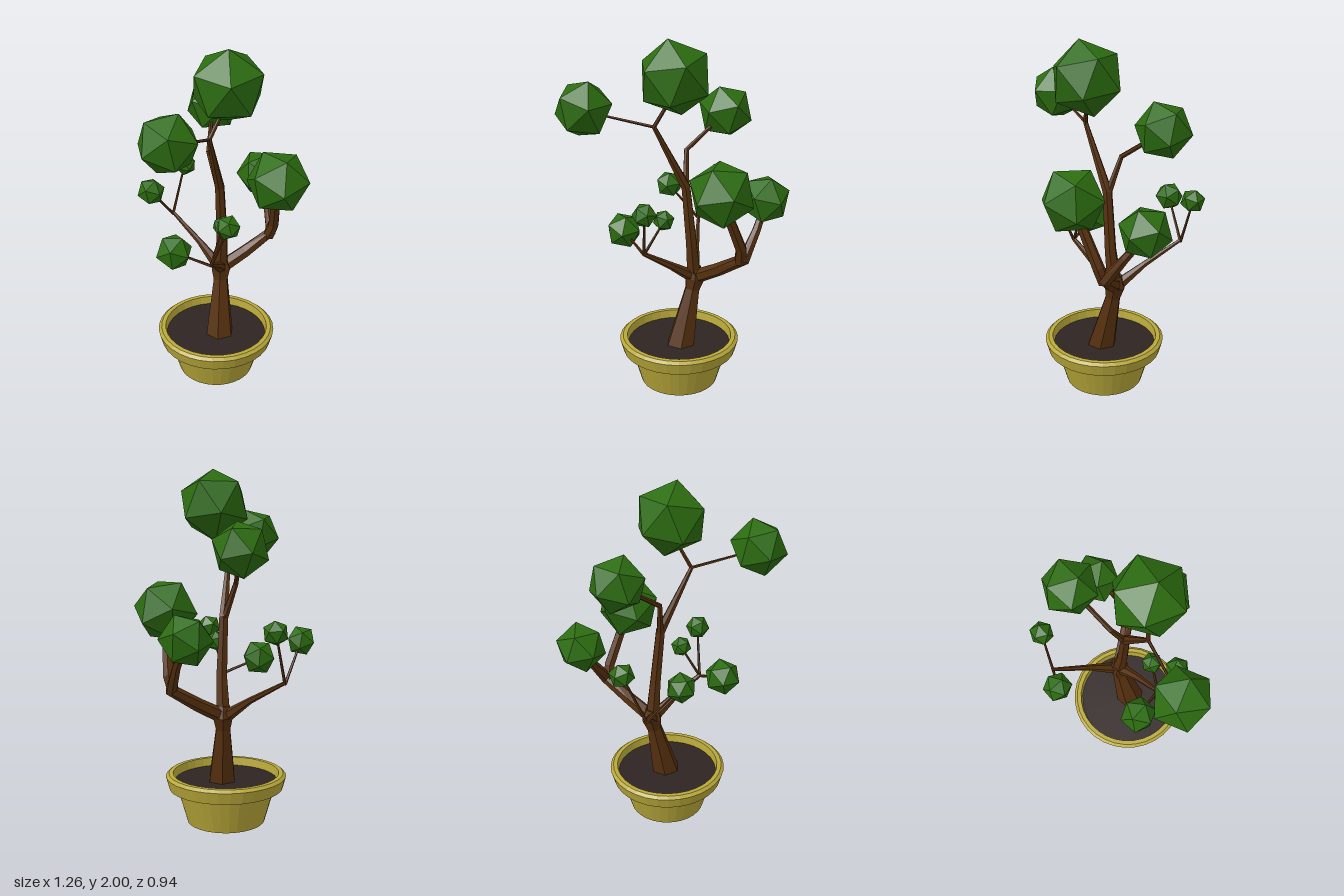
import * as THREE from 'three';

const mat = (color) => new THREE.MeshStandardMaterial({ color, flatShading: true });
const bark = mat(0x56300f);
const leaf = mat(0x2c6c10);
const clay = mat(0xb8a83a);
const earth = mat(0x2e2422);

// Faceted limb through points [x, y, z, radius], with mitred rings and a capped tip
function limb(name, points, sides = 6) {
  const up = new THREE.Vector3(0, 1, 0);
  const centres = points.map((p) => new THREE.Vector3(p[0], p[1], p[2]));
  const pos = [];
  const index = [];
  centres.forEach((c, i) => {
    const into = c.clone().sub(centres[Math.max(i - 1, 0)]).normalize();
    const out = centres[Math.min(i + 1, centres.length - 1)].clone().sub(c).normalize();
    const q = new THREE.Quaternion().setFromUnitVectors(up, into.add(out).normalize());
    for (let s = 0; s < sides; s++) {
      const a = (s / sides) * Math.PI * 2;
      const v = new THREE.Vector3(Math.sin(a), 0, Math.cos(a)).multiplyScalar(points[i][3]);
      pos.push(...v.applyQuaternion(q).add(c).toArray());
      if (i > 0) {
        const n = (s + 1) % sides;
        const a0 = (i - 1) * sides, b0 = i * sides;
        index.push(a0 + s, a0 + n, b0 + n, a0 + s, b0 + n, b0 + s);
      }
    }
  });
  const last = (centres.length - 1) * sides;
  for (let s = 1; s < sides - 1; s++) index.push(last, last + s, last + s + 1);
  const geo = new THREE.BufferGeometry();
  geo.setAttribute('position', new THREE.Float32BufferAttribute(pos, 3));
  geo.setIndex(index);
  geo.computeVertexNormals();
  const mesh = new THREE.Mesh(geo, bark);
  mesh.name = name;
  return mesh;
}

function createPot() {
  const pot = new THREE.Group();
  pot.name = 'pot';
  // Tapered body, overhanging rim and inner wall in one profile
  const profile = [
    [0, 0], [0.222, 0], [0.28, 0.2], [0.327, 0.2], [0.345, 0.268],
    [0.328, 0.283], [0.303, 0.283], [0.29, 0.2],
  ].map(([r, y]) => new THREE.Vector2(r, y));
  const shell = new THREE.Mesh(new THREE.LatheGeometry(profile, 32), clay);
  shell.name = 'potShell';
  const soil = new THREE.Mesh(new THREE.CircleGeometry(0.297, 32).rotateX(-Math.PI / 2), earth);
  soil.name = 'soil';
  soil.position.y = 0.235;
  pot.add(shell, soil);
  pot.position.set(0.024, 0, 0.037);
  return pot;
}

export function createModel() {
  const model = new THREE.Group();
  model.add(createPot());

  // Trunk and main limbs
  const limbs = {
    trunk: [[0.03, 0.2, 0.06, 0.088], [0.1, 0.56, 0.012, 0.045], [0.115, 0.63, 0.005, 0.062], [0.11, 0.69, 0.005, 0.042]],
    centreStem: [[0.11, 0.62, 0.005, 0.045], [0.092, 0.85, 0.025, 0.034], [0.06, 1.18, 0.03, 0.028],
      [-0.11, 1.53, 0.09, 0.013], [0, 1.72, 0.125, 0.009]],
    upperLeftFork: [[0.06, 1.16, 0.03, 0.022], [0.063, 1.37, -0.05, 0.015], [0.26, 1.53, -0.18, 0.011]],
    leftLimb: [[0.11, 0.63, 0.005, 0.042], [0.24, 0.71, 0.085, 0.038], [0.38, 0.81, 0.17, 0.035],
      [0.45, 0.95, 0.09, 0.025], [0.5, 1.07, 0.01, 0.02]],
    leftLimbFork: [[0.36, 0.79, 0.165, 0.035], [0.36, 0.88, 0.2, 0.033], [0.25, 1.18, 0.285, 0.026]],
    rightLimb: [[0.11, 0.63, 0.005, 0.038], [-0.02, 0.73, 0.08, 0.022], [-0.17, 0.83, 0.15, 0.012]],
    backLimb: [[0.11, 0.62, 0.005, 0.038], [0.125, 0.74, -0.17, 0.018], [0.14, 0.86, -0.385, 0.01]],
  };
  for (const [name, points] of Object.entries(limbs)) model.add(limb(name, points));

  // Thin twigs: start point and end point
  const twigs = [
    [[-0.11, 1.53, 0.09], [-0.45, 1.615, 0.12]],
    [[-0.17, 0.825, 0.15], [-0.28, 0.9, 0]],
    [[-0.17, 0.825, 0.15], [-0.16, 1.07, 0.25]],
    [[-0.17, 0.825, 0.15], [-0.065, 1.01, 0.145]],
    [[0.14, 0.85, -0.385], [-0.03, 1.05, -0.393]],
    [[0.14, 0.85, -0.385], [0.255, 1.12, -0.39]],
  ];
  for (const [from, to] of twigs) model.add(limb('twig', [[...from, 0.009], [...to, 0.006]], 5));

  // Leaf clumps: position, radius, rotation
  const clumps = [
    [[0, 1.795, 0.123], 0.205, [0.12, 0.1, -0.38]],
    [[-0.475, 1.632, 0.125], 0.16, [0.4, 0.5, 0.3]],
    [[0.28, 1.555, -0.193], 0.156, [0.2, 0.3, -0.3]],
    [[0.243, 1.223, 0.292], 0.182, [0.45, 0.2, -0.25]],
    [[0.5, 1.102, 0], 0.143, [0.3, -0.4, 0.35]],
    [[-0.289, 0.91, -0.012], 0.104, [0.5, 0.2, 0.4]],
    [[-0.16, 1.094, 0.255], 0.069, [0.3, 0.4, 0.1]],
    [[-0.06, 1.025, 0.145], 0.06, [0.2, 0.6, 0.3]],
    [[-0.04, 1.065, -0.395], 0.082, [0.4, 0.1, 0.5]],
    [[0.262, 1.137, -0.388], 0.069, [0.1, 0.5, 0.2]],
  ];
  for (const [p, r, rot] of clumps) {
    const clump = new THREE.Mesh(new THREE.IcosahedronGeometry(r, 0), leaf);
    clump.name = 'leafClump';
    clump.position.set(...p);
    clump.rotation.set(...rot);
    model.add(clump);
  }
  return model;
}
